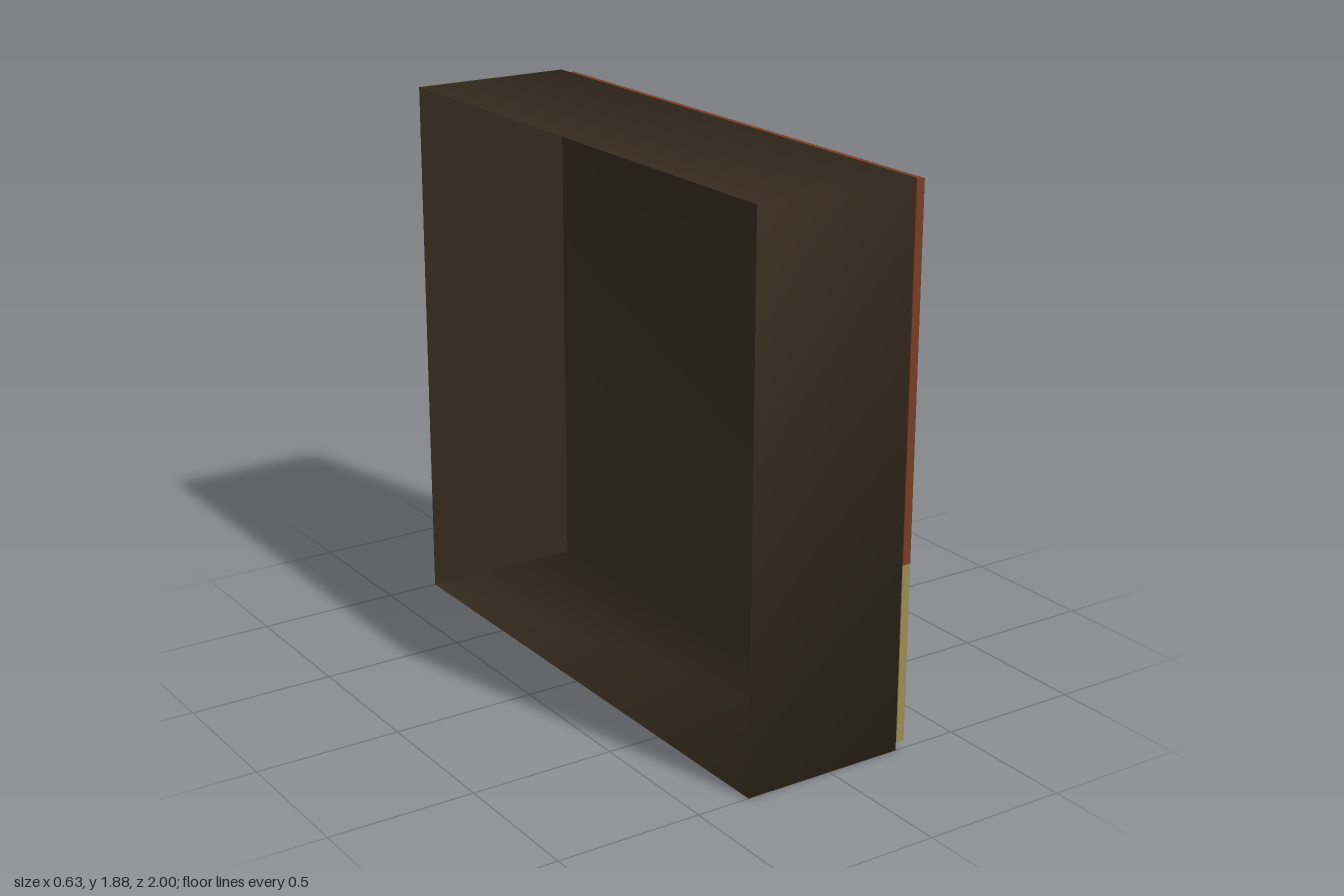
import * as THREE from 'three';
import { mergeVertices } from 'three/addons/utils/BufferGeometryUtils.js';

function material(name, color, side = THREE.FrontSide) {
  const m = new THREE.MeshStandardMaterial({ color, side });
  m.name = name;
  return m;
}

export function createModel() {
  const group = new THREE.Group();
  const dark = material('dark casing', 0x33291c, THREE.DoubleSide);
  const red = material('russet panel', 0x773d27);
  const tan = material('olive panel', 0x9c8b51);

  const add = (name, geometry, mat) => {
    const mesh = new THREE.Mesh(geometry, mat);
    mesh.name = name;
    group.add(mesh);
    return mesh;
  };

  // Casing: a thin hollow shell, open on its -x side, with softened corners
  const width = 0.581, height = 1.88, depth = 2, caseX = -0.0225;
  let shell = new THREE.BoxGeometry(width, height, depth);
  const faces = [...shell.index.array];
  shell.setIndex([...faces.slice(0, 6), ...faces.slice(12, 30)]); // drop the -x and -z faces
  shell.clearGroups();
  shell.deleteAttribute('uv');
  shell.deleteAttribute('normal');
  shell = mergeVertices(shell);
  shell.computeVertexNormals();
  add('casing', shell, dark).position.set(caseX, height / 2, 0);

  // Flat plate closing the rear end of the casing
  const plate = new THREE.PlaneGeometry(width, height).rotateY(Math.PI);
  add('casingRearPlate', plate, dark).position.set(caseX, height / 2, -depth / 2);

  // Door: a thin two-tone slab floating just off the casing
  const doorX = 0.284, thickness = 0.029, half = 0.985;
  const bottom = 0.018, split = 0.632, top = 1.87;

  // Upper panel with two small handle holes
  const shape = new THREE.Shape();
  shape.moveTo(-half, split);
  shape.lineTo(half, split);
  shape.lineTo(half, top);
  shape.lineTo(-half, top);
  shape.closePath();
  for (const [z, y] of [[0.163, 1.33], [0.033, 1.336]]) {
    const hole = new THREE.Path();
    hole.absellipse(-z, y, 0.013, 0.016, 0, Math.PI * 2, true);
    shape.holes.push(hole);
  }
  const upper = new THREE.ExtrudeGeometry(shape, { depth: thickness, bevelEnabled: false, curveSegments: 6 });
  upper.rotateY(Math.PI / 2);
  add('upperDoorPanel', upper, red).position.x = doorX;

  // Lower panel
  const lower = new THREE.BoxGeometry(thickness, split - bottom, half * 2);
  add('lowerDoorPanel', lower, tan).position.set(doorX + thickness / 2, (split + bottom) / 2, 0);

  return group;
}
